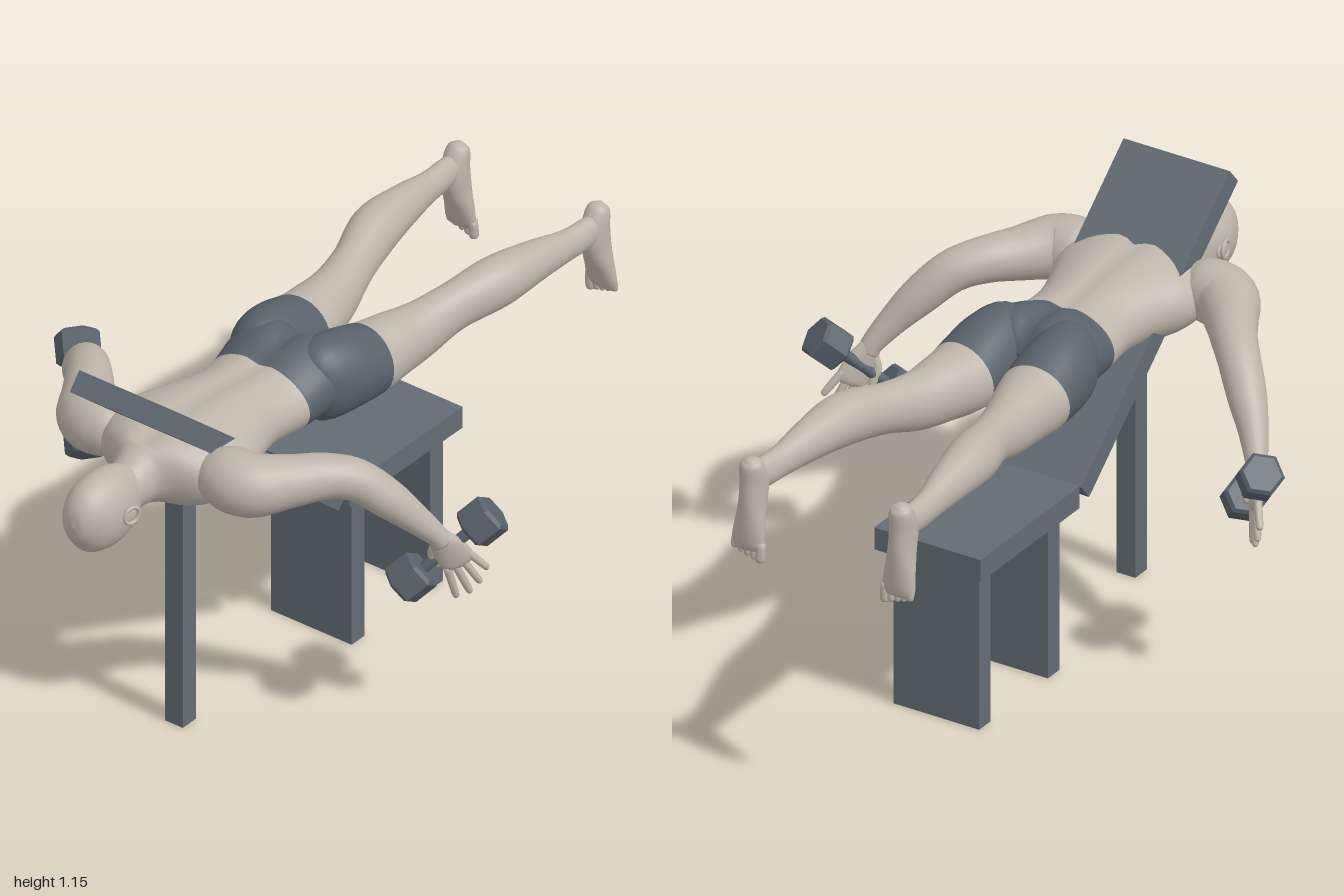
import * as THREE from 'three';
import { toCreasedNormals } from 'three/addons/utils/BufferGeometryUtils.js';

const mat = (name, color) => {
  const m = new THREE.MeshStandardMaterial({ color });
  m.name = name;
  return m;
};
const V = (x, y, z) => new THREE.Vector3(x, y, z);

// Smooth loft through rows [x, y, z, widthRadius, depthRadius].
// o.ref: width direction, o.warp: moves vertices, o.second(rowIndex): uses second material.
function loft(rows, o = {}) {
  const { ref = V(1, 0, 0), steps = 6, sides = 24, warp, second } = o;
  const path = new THREE.CatmullRomCurve3(rows.map(r => V(r[0], r[1], r[2])), false, 'catmullrom', 0.5);
  const size = new THREE.CatmullRomCurve3(rows.map(r => V(r[3], r[4] ?? r[3], 0)), false, 'catmullrom', 0.5);
  const n = (rows.length - 1) * steps, pos = [], idx = [];
  const geo = new THREE.BufferGeometry();
  for (let i = 0; i <= n; i++) {
    const c = path.getPoint(i / n), r = size.getPoint(i / n), t = path.getTangent(i / n);
    const u = ref.clone().addScaledVector(t, -ref.dot(t)).normalize();
    const v = t.clone().cross(u);
    for (let j = 0; j < sides; j++) {
      const a = j / sides * Math.PI * 2;
      const p = c.clone().addScaledVector(u, Math.cos(a) * r.x).addScaledVector(v, Math.sin(a) * r.y);
      if (warp) warp(p);
      pos.push(p.x, p.y, p.z);
    }
  }
  const start = path.getPoint(0), end = path.getPoint(1), s0 = pos.length / 3;
  pos.push(start.x, start.y, start.z, end.x, end.y, end.z);
  for (let i = 0; i < n; i++) {
    const first = idx.length;
    for (let j = 0; j < sides; j++) {
      const k = (j + 1) % sides, a = i * sides + j, b = i * sides + k;
      idx.push(a, b, a + sides, b, b + sides, a + sides);
      if (i === 0) idx.push(s0, b, a);
      if (i === n - 1) idx.push(s0 + 1, a + sides, b + sides);
    }
    geo.addGroup(first, idx.length - first, second && second((i + 0.5) / steps) ? 1 : 0);
  }
  if (!second) geo.clearGroups();
  geo.setAttribute('position', new THREE.Float32BufferAttribute(pos, 3));
  geo.setIndex(idx);
  geo.computeVertexNormals();
  return geo;
}

export function createModel() {
  const model = new THREE.Group();
  const skin = mat('skin', 0xbdb5aa), cloth = mat('shorts', 0x59626b);
  const bench = mat('bench', 0x646b73), iron = mat('iron', 0x59626b);
  const add = (name, geo, m, parent = model) => {
    const mesh = new THREE.Mesh(geo, m);
    mesh.name = name;
    parent.add(mesh);
    return mesh;
  };
  const box = (name, w, h, d, y, z) => {
    const m = add(name, new THREE.BoxGeometry(w, h, d), bench);
    m.position.set(0, y, z);
    return m;
  };
  const ball = (name, r, p, s) => {
    const m = add(name, new THREE.SphereGeometry(r, 16, 12), skin);
    m.position.set(...p);
    m.scale.set(...s);
    return m;
  };

  // Bench: flat seat, sloping backrest and three supports
  box('seat', 0.334, 0.066, 0.485, 0.508, -0.222);
  box('seatFrontLeg', 0.27, 0.475, 0.056, 0.2375, -0.057);
  box('seatRearLeg', 0.27, 0.475, 0.056, 0.2375, -0.393);
  box('backrestPost', 0.06, 0.91, 0.056, 0.455, 0.533);
  box('backrest', 0.334, 0.063, 0.955, 0.82, 0.41).rotation.x = -0.704;

  // Torso with a groove along the spine; the rows past the waist are shorts
  const spine = p => {
    if (p.y < 0.88 || p.z > 0.7) return;
    const deep = p.z < 0.14 ? 0.028 : 0.014;
    p.y -= deep * Math.exp(-((p.x / 0.03) ** 2));
  };
  add('torso', loft([
    [0, 0.85, 0.84, 0.055, 0.06], [0, 0.86, 0.76, 0.064, 0.072], [0, 0.868, 0.71, 0.085, 0.088],
    [0, 0.873, 0.66, 0.17, 0.105], [0, 0.87, 0.6, 0.215, 0.122], [0, 0.866, 0.5, 0.22, 0.122],
    [0, 0.867, 0.4, 0.18, 0.115], [0, 0.863, 0.3, 0.155, 0.105], [0, 0.858, 0.19, 0.167, 0.104],
    [0, 0.874, 0.09, 0.18, 0.122], [0, 0.872, 0.03, 0.17, 0.11], [0, 0.868, -0.01, 0.08, 0.06],
  ], { sides: 48, warp: spine, second: r => r > 8 }), [skin, cloth]);

  // Head, face down
  add('head', loft([
    [0, 0.85, 1.0, 0.006, 0.008], [0, 0.85, 0.99, 0.036, 0.05], [0, 0.85, 0.955, 0.064, 0.092],
    [0, 0.847, 0.91, 0.079, 0.11], [0, 0.843, 0.85, 0.08, 0.114], [0, 0.835, 0.8, 0.067, 0.104],
    [0, 0.825, 0.765, 0.05, 0.085], [0, 0.825, 0.75, 0.02, 0.04],
  ], { sides: 32 }), skin);
  ball('nose', 0.016, [0, 0.727, 0.835], [0.75, 1.1, 1.4]);
  ball('lips', 0.014, [0, 0.736, 0.802], [1.6, 0.7, 0.9]);
  ball('chin', 0.025, [0, 0.753, 0.772], [1.2, 0.8, 0.8]);

  for (const s of [1, -1]) {
    const side = s > 0 ? 'left' : 'right';
    const m = rows => rows.map(r => [r[0] * s, ...r.slice(1)]);

    // Ear: lobe with a raised rim
    ball(side + 'Ear', 0.03, [s * 0.082, 0.845, 0.852], [0.25, 0.8, 1]);
    const rim = add(side + 'EarRim', new THREE.TorusGeometry(0.024, 0.006, 8, 20), skin);
    rim.position.set(s * 0.088, 0.848, 0.854);
    rim.rotation.y = Math.PI / 2 - s * 0.25;

    // Leg: shorts down to mid thigh, then skin
    add(side + 'Leg', loft(m([
      [0.09, 0.872, 0.13, 0.05, 0.07], [0.096, 0.874, 0.08, 0.087, 0.116], [0.107, 0.87, 0, 0.103, 0.118],
      [0.114, 0.853, -0.115, 0.104, 0.1], [0.124, 0.853, -0.2, 0.089, 0.092], [0.14, 0.856, -0.3, 0.072, 0.082],
      [0.166, 0.88, -0.42, 0.06, 0.07], [0.203, 0.902, -0.56, 0.068, 0.073], [0.219, 0.9, -0.7, 0.053, 0.059],
      [0.23, 0.89, -0.82, 0.036, 0.046], [0.235, 0.89, -0.9, 0.032, 0.044], [0.235, 0.9, -0.955, 0.026, 0.034],
    ]), { sides: 32, second: r => r < 3 }), [skin, cloth]);

    // Foot hanging down, sole to the rear
    add(side + 'Foot', loft(m([
      [0.235, 0.958, -0.965, 0.01, 0.01], [0.235, 0.94, -0.96, 0.032, 0.03], [0.235, 0.88, -0.946, 0.036, 0.046],
      [0.235, 0.82, -0.953, 0.038, 0.042], [0.236, 0.76, -0.965, 0.046, 0.03], [0.237, 0.71, -0.973, 0.05, 0.02],
      [0.236, 0.692, -0.975, 0.044, 0.012],
    ])), skin);
    for (let i = 0; i < 5; i++) {
      const x = 0.196 + i * 0.02, r = i === 0 ? 0.014 : 0.0105, y = 0.662 + i * 0.006;
      add(side + 'Toe', loft(m([
        [x, 0.72, -0.973, r * 0.9], [x, y + 0.018, -0.976, r], [x, y + 0.004, -0.977, r * 0.8], [x, y, -0.977, 0.002],
      ]), { steps: 3, sides: 10 }), skin);
    }

    // Arm reaching out and down
    add(side + 'Arm', loft(m([
      [0.14, 0.885, 0.59, 0.06], [0.2, 0.882, 0.592, 0.086], [0.27, 0.876, 0.578, 0.088],
      [0.335, 0.873, 0.5, 0.073], [0.395, 0.872, 0.42, 0.063], [0.453, 0.85, 0.356, 0.058],
      [0.515, 0.785, 0.298, 0.053], [0.565, 0.72, 0.25, 0.041], [0.602, 0.662, 0.208, 0.031],
      [0.612, 0.635, 0.195, 0.028],
    ]), { ref: V(0, 0.25, 1) }), skin);

    // Hand, with knuckles in line with the dumbbell
    const axis = V(s * 0.54, 0.65, -0.54).normalize();
    add(side + 'Palm', loft(m([
      [0.597, 0.672, 0.213, 0.022, 0.022], [0.608, 0.645, 0.197, 0.032, 0.024], [0.622, 0.605, 0.175, 0.046, 0.02],
      [0.635, 0.565, 0.153, 0.046, 0.017], [0.639, 0.55, 0.146, 0.032, 0.01],
    ]), { ref: axis }), skin);
    const finger = (name, pts, r) => add(name, loft(
      pts.map((p, i) => [p.x, p.y, p.z, [1, 0.95, 0.8, 0.15][i] * r]),
      { ref: axis, steps: 4, sides: 10 }), skin);
    for (let i = 0; i < 4; i++) {
      const f = i - 1.5, reach = [0.9, 1.05, 1, 0.8][i];
      const root = V(s * 0.633, 0.57, 0.156).addScaledVector(axis, f * 0.023);
      const dir = V(s * 0.03, -0.098, -0.042).multiplyScalar(reach).addScaledVector(axis, f * 0.016);
      finger(side + 'Finger', [0, 0.5, 0.92, 1].map(k => root.clone().addScaledVector(dir, k)), 0.0115);
    }
    finger(side + 'Thumb', [V(s * 0.603, 0.635, 0.2), V(s * 0.585, 0.59, 0.2),
      V(s * 0.59, 0.55, 0.18), V(s * 0.592, 0.542, 0.175)], 0.014);

    // Dumbbell with bevelled six-sided ends
    const bell = new THREE.Group();
    bell.name = side + 'Dumbbell';
    bell.position.set(s * 0.612, 0.6, 0.172);
    bell.quaternion.setFromUnitVectors(V(0, 1, 0), axis);
    model.add(bell);
    add('handle', new THREE.CylinderGeometry(0.016, 0.016, 0.25, 16), iron, bell);
    const profile = [[0, -0.045], [0.052, -0.045], [0.062, -0.036], [0.062, 0.036], [0.052, 0.045], [0, 0.045]];
    const hex = toCreasedNormals(
      new THREE.LatheGeometry(profile.map(p => new THREE.Vector2(...p)), 6), 0.3);
    for (const e of [1, -1]) add('weight', hex, iron, bell).position.y = e * 0.125;
  }
  return model;
}
